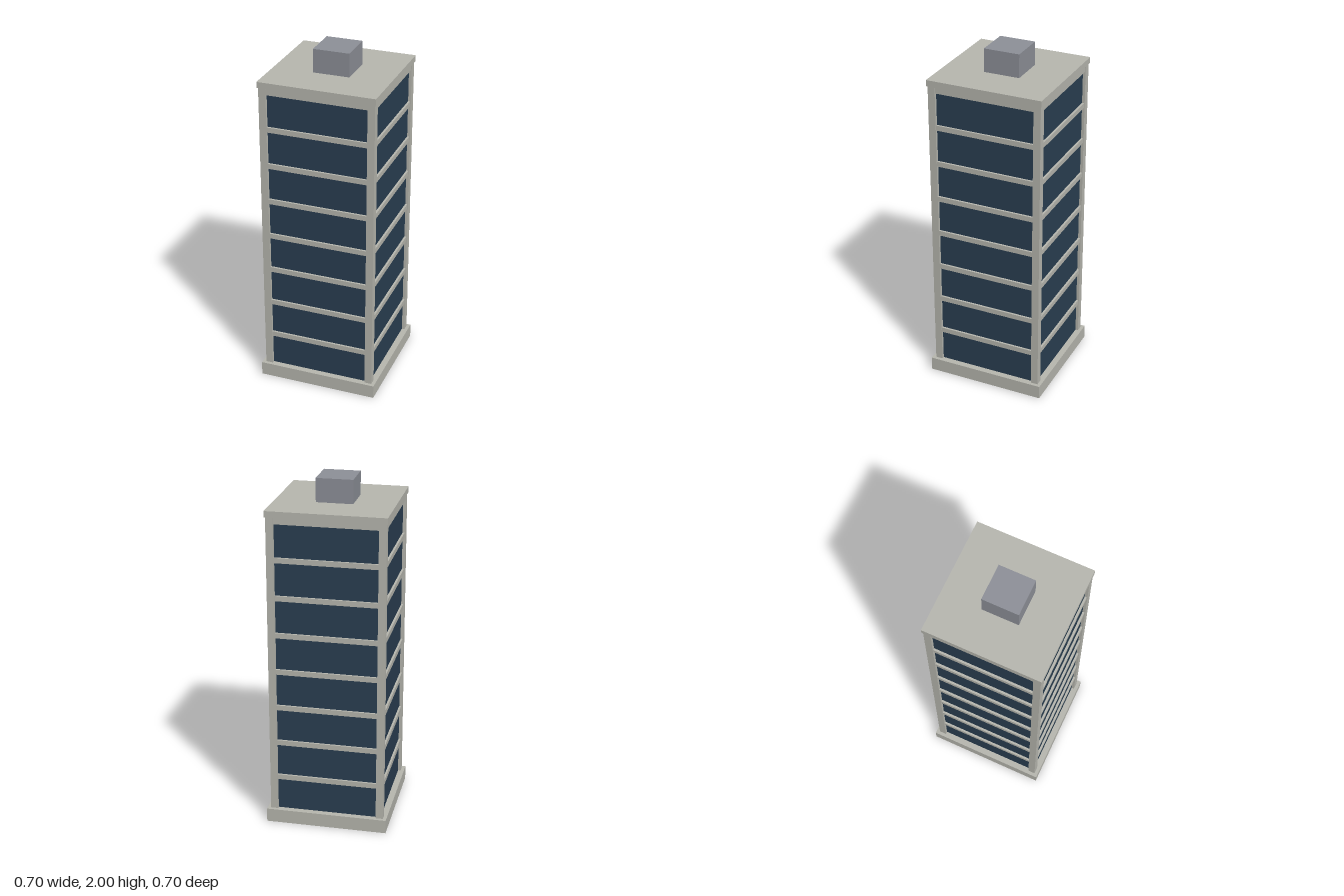
import * as THREE from 'three';

const mat = (name, color) => {
  const m = new THREE.MeshStandardMaterial({ color });
  m.name = name;
  return m;
};

export function createModel() {
  const concrete = mat('concrete', 0xb8b8b0);
  const glass = mat('dark blue glass', 0x2a3f52);
  const metal = mat('roof unit grey', 0x8e9199);

  const tower = new THREE.Group();
  tower.name = 'officeTower';

  // Square block of full width w between heights y0 and y1
  const block = (name, material, w, y0, y1, x = 0, z = 0) => {
    const mesh = new THREE.Mesh(new THREE.BoxGeometry(w, y1 - y0, w), material);
    mesh.name = name;
    mesh.position.set(x, (y0 + y1) / 2, z);
    tower.add(mesh);
  };

  const baseTop = 0.08, roofBottom = 1.83, roofTop = 1.865;
  block('base', concrete, 0.7, 0, baseTop);
  block('roofSlab', concrete, 0.672, roofBottom, roofTop);
  block('roofUnit', metal, 0.208, roofTop, 2);

  // Recessed glass core
  block('glassCore', glass, 0.628, baseTop, roofBottom);

  // Floor bands between the storeys; the last one meets the roof slab
  const storey = 0.2177, windowHeight = 0.188;
  for (let i = 0; i < 8; i++) {
    const y0 = baseTop + i * storey + windowHeight;
    const y1 = i === 7 ? roofBottom : baseTop + (i + 1) * storey;
    block('floorBand', concrete, 0.652, y0, y1);
  }

  // Corner piers
  const pier = 0.042, offset = 0.33 - pier / 2;
  for (const sx of [-1, 1])
    for (const sz of [-1, 1])
      block('cornerPier', concrete, pier, baseTop, roofBottom, sx * offset, sz * offset);

  return tower;
}
